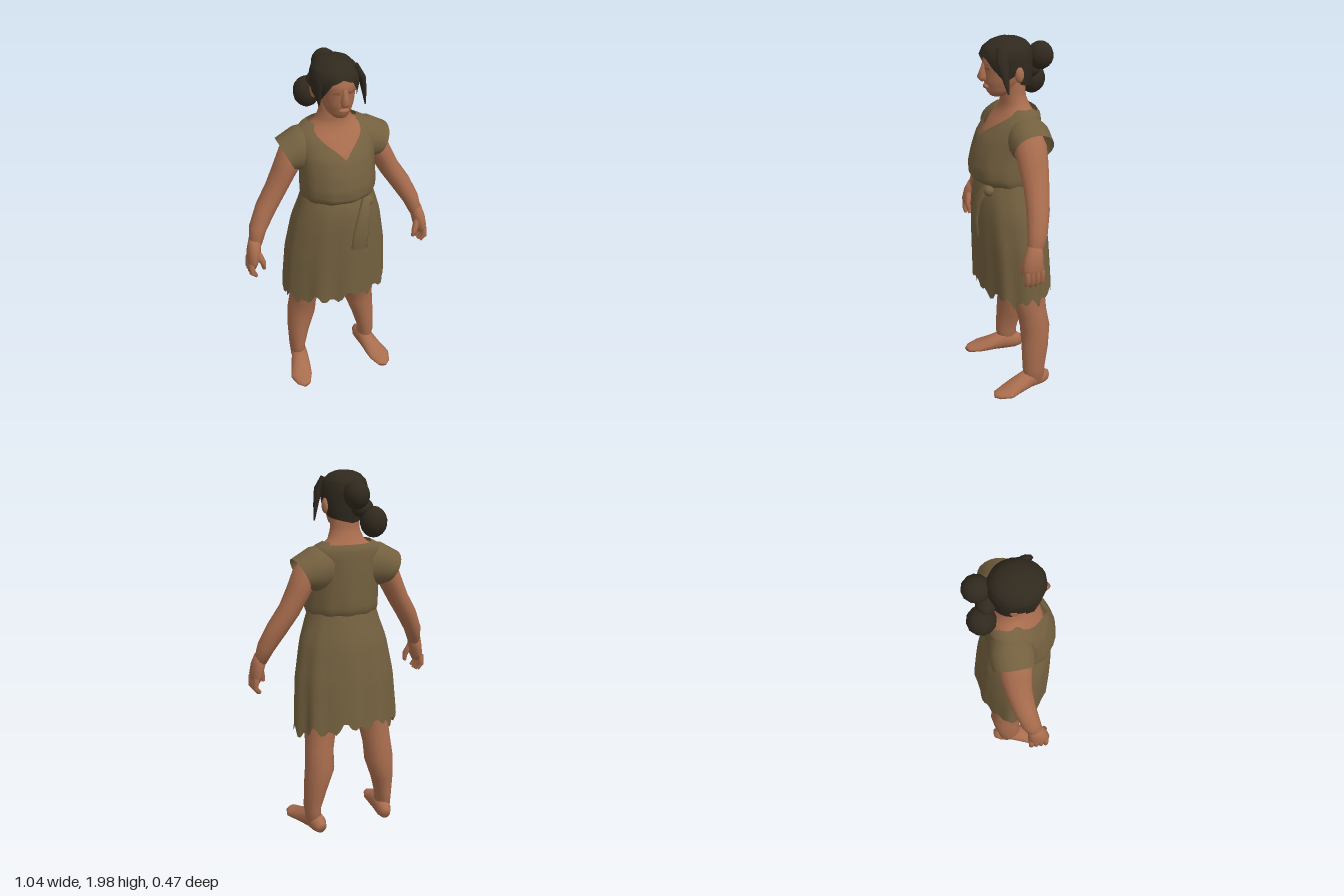
import * as THREE from 'three';

const mat = (name, color, side = THREE.FrontSide) => {
  const m = new THREE.MeshStandardMaterial({ color, side });
  m.name = name;
  return m;
};

// Interpolates a table of rows keyed by their first number
function sample(table, key) {
  let i = 0;
  while (i < table.length - 2 && key > table[i + 1][0]) i++;
  const a = table[i], b = table[i + 1];
  const t = THREE.MathUtils.clamp((key - a[0]) / (b[0] - a[0]), 0, 1);
  return a.map((n, k) => n + (b[k] - n) * t);
}

// Surface closed around u; point(angle, v) returns [x, y, z]; s = -1 mirrors it
function wrap(nu, nv, point, s = 1) {
  const pos = [], idx = [];
  for (let j = 0; j <= nv; j++) for (let i = 0; i < nu; i++) {
    const p = point((i / nu) * Math.PI * 2, j / nv);
    pos.push(p[0] * s, p[1], p[2]);
  }
  for (let j = 0; j < nv; j++) for (let i = 0; i < nu; i++) {
    const a = j * nu + i, b = j * nu + (i + 1) % nu, c = b + nu, d = a + nu;
    if (s > 0) idx.push(a, b, c, a, c, d);
    else idx.push(a, c, b, a, d, c);
  }
  const g = new THREE.BufferGeometry();
  g.setAttribute('position', new THREE.Float32BufferAttribute(pos, 3));
  g.setIndex(idx);
  g.computeVertexNormals();
  return g;
}

// Horizontal oval at height y; rows are [y, centreX, radiusX, frontZ, backZ]
function oval(table, y, th, k = 1) {
  const [, cx, rx, f, b] = sample(table, y);
  return [cx + rx * k * Math.sin(th), y, (f + b) / 2 + ((f - b) / 2) * k * Math.cos(th)];
}

// Capped tube through rows [x, y, z, radiusA, radiusB]; hint gives the radiusB direction
function limb(rows, s = 1, nu = 12, hint = new THREE.Vector3(0, 0, 1)) {
  const n = rows.length, first = rows[0], last = rows[n - 1];
  const frames = rows.map((r, i) => {
    const p = rows[Math.max(i - 1, 0)], q = rows[Math.min(i + 1, n - 1)];
    const t = new THREE.Vector3(q[0] - p[0], q[1] - p[1], q[2] - p[2]).normalize();
    const b = hint.clone().addScaledVector(t, -hint.dot(t)).normalize();
    return { r, a: t.clone().cross(b), b };
  });
  frames.unshift({ ...frames[0], r: [...first.slice(0, 3), 0, 0] });
  frames.push({ ...frames[n], r: [...last.slice(0, 3), 0, 0] });
  return wrap(nu, n + 1, (th, v) => {
    const { r, a, b } = frames[Math.round(v * (n + 1))];
    const sa = Math.sin(th) * r[3], cb = Math.cos(th) * r[4];
    return [0, 1, 2].map(k => r[k] + a.getComponent(k) * sa + b.getComponent(k) * cb);
  }, s);
}

export function createModel() {
  const root = new THREE.Group();
  const skin = mat('skin', 0xa96d4e);
  const shade = mat('eye shade', 0x8a573e);
  const cloth = mat('brown cloth', 0x73603f, THREE.DoubleSide);
  const hair = mat('dark hair', 0x30291e, THREE.DoubleSide);
  const add = (name, geo, m) => {
    const mesh = new THREE.Mesh(geo, m);
    mesh.name = name;
    root.add(mesh);
    return mesh;
  };
  const ball = (name, m, [x, y, z], [rx, ry, rz]) => {
    const mesh = add(name, new THREE.SphereGeometry(1, 12, 9), m);
    mesh.position.set(x, y, z);
    mesh.scale.set(rx, ry, rz);
    return mesh;
  };

  // Chest and neck under the neckline
  const chest = [[1.42, 0, .16, .16, -.12], [1.5, 0, .17, .15, -.12], [1.58, 0, .17, .095, -.125],
    [1.61, 0, .15, .07, -.12], [1.65, 0, .1, .05, -.1], [1.7, 0, .08, .05, -.08], [1.8, 0, .075, .05, -.08]];
  add('chestAndNeck', wrap(24, 18, (th, v) => oval(chest, 1.42 + .38 * v, th)), skin);

  // Head
  const head = [[1.695, 0, 0, .08, .06], [1.705, 0, .035, .105, .02], [1.73, 0, .06, .125, -.03],
    [1.78, 0, .08, .138, -.08], [1.83, 0, .09, .14, -.1], [1.88, 0, .097, .145, -.1],
    [1.93, 0, .09, .13, -.09], [1.97, 0, .04, .07, -.04]];
  add('head', wrap(20, 24, (th, v) => oval(head, 1.695 + .275 * v, th)), skin);
  add('nose', limb([[0, 1.79, .14, .02, .018], [0, 1.81, .147, .022, .03], [0, 1.84, .144, .014, .018],
    [0, 1.875, .138, .01, .01]]), skin);
  ball('lips', skin, [0, 1.757, .128], [.028, .014, .016]);

  // Hair cap with a parted front and lower back
  const hairRows = [[1.73, -.005, .1, .1, -.1], [1.8, -.005, .112, .125, -.115], [1.86, -.008, .12, .148, -.12],
    [1.91, -.01, .122, .158, -.12], [1.95, -.01, .11, .14, -.11], [1.98, -.01, .08, .1, -.08],
    [1.995, -.01, .045, .06, -.04], [2, -.01, 0, .01, .01]];
  const hairline = [[0, 1.925], [.5, 1.9], [.8, 1.83], [1.2, 1.78], [1.5, 1.84], [1.8, 1.77], [3.15, 1.74]];
  add('hairCap', wrap(28, 20, (th, v) => {
    const low = sample(hairline, Math.min(th, Math.PI * 2 - th))[1];
    return oval(hairRows, low + (2 - low) * (1 - (1 - v) ** 1.5), th);
  }), hair);
  ball('upperBun', hair, [.003, 1.89, -.165], [.066, .073, .07]);
  ball('lowerBun', hair, [-.095, 1.75, -.16], [.07, .08, .072]);
  ball('bunLink', hair, [-.045, 1.82, -.13], [.06, .05, .05]);
  add('leftLock', limb([[.14, 1.74, .06, .003, .004], [.127, 1.82, .07, .012, .02],
    [.11, 1.9, .08, .018, .035], [.08, 1.96, .07, .015, .03]], 1, 8), hair);
  add('rightLock', limb([[-.1, 1.765, .05, .003, .004], [-.108, 1.82, .065, .014, .022],
    [-.105, 1.91, .075, .02, .04]], 1, 8), hair);

  // Bodice with a V neck; each column rises to its own neckline height
  const bodice = [[1.25, 0, .19, .18, -.125], [1.28, 0, .202, .218, -.145], [1.34, 0, .202, .222, -.15],
    [1.42, 0, .2, .205, -.152], [1.5, 0, .205, .175, -.152], [1.58, 0, .21, .115, -.15],
    [1.62, 0, .185, .075, -.145], [1.65, 0, .125, .03, -.12]];
  add('bodice', wrap(48, 20, (th, v) => {
    const a = Math.min(th, Math.PI * 2 - th);
    const top = a < .95 ? 1.5 + .147 * (a / .95) ** .85 : a > 2.2 ? 1.635 : 1.647;
    const fold = 1 + .018 * Math.sin(th * 11) * (1 - v) ** 2;
    return oval(bodice, 1.25 + (top - 1.25) * v, th, fold);
  }), cloth);

  // Skirt with growing folds and a ragged hem
  const skirt = [[.55, 0, .298, .19, -.225], [.7, 0, .292, .193, -.215], [.9, 0, .28, .2, -.2],
    [1.1, 0, .245, .205, -.175], [1.2, 0, .212, .2, -.148], [1.28, 0, .188, .175, -.125]];
  add('skirt', wrap(80, 16, (th, v) => {
    const hem = .645 - .035 * Math.sin(th) ** 2 + .018 * Math.sin(th * 9 + .6) + .02 * Math.sin(th * 20 + 1)
      - .01 * Math.cos(th);
    const fold = 1 + (1 - v) * (.03 * Math.sin(th * 9) + .015 * Math.sin(th * 14 + 2));
    return oval(skirt, hem + (1.28 - hem) * v, th, fold);
  }), cloth);

  // Hanging sash end and knot
  add('sash', limb([[.058, .98, .222, .046, .012], [.064, 1.08, .226, .043, .014],
    [.085, 1.18, .212, .034, .016], [.11, 1.25, .175, .025, .018]]), cloth);
  ball('sashKnot', cloth, [.12, 1.235, .165], [.035, .03, .03]);

  for (const s of [1, -1]) {
    const side = s > 0 ? 'left' : 'right';
    const up = new THREE.Vector3(0, 1, 0);

    // Cap sleeve: rows are [v, topX, topY, bottomX, bottomY, radiusZ]
    const sleeve = [[0, .1, 1.635, .12, 1.4, .1], [.5, .2, 1.62, .185, 1.39, .115], [1, .3, 1.565, .218, 1.4, .105]];
    add(side + 'Sleeve', wrap(20, 6, (th, v) => {
      const [, tx, ty, bx, by, rz] = sample(sleeve, v);
      const c = Math.cos(th) / 2;
      return [(tx + bx) / 2 + (tx - bx) * c, (ty + by) / 2 + (ty - by) * c, -.033 + rz * Math.sin(th)];
    }, s), cloth);

    // Arm and hand
    add(side + 'Arm', limb([[.465, 1.02, .045, .034, .04], [.44, 1.1, .022, .046, .052],
      [.385, 1.2, -.003, .054, .06], [.32, 1.3, -.02, .055, .068], [.268, 1.4, -.025, .06, .08],
      [.228, 1.48, -.025, .068, .085], [.17, 1.55, -.03, .055, .065]], s), skin);
    add(side + 'Palm', limb([[.492, .9, .06, .02, .045], [.487, .94, .062, .033, .058],
      [.477, .99, .057, .036, .053], [.464, 1.045, .043, .034, .04]], s), skin);
    for (let f = 0; f < 4; f++) {
      const z = .02 + f * .026, low = .835 + Math.abs(f - 1.5) * .01;
      add(side + 'Finger', limb([[.48, low, z, .01, .011], [.505, .875, z, .015, .015],
        [.498, .93, z, .018, .016]], s, 7), skin);
    }
    add(side + 'Thumb', limb([[.435, .885, .095, .01, .01], [.44, .925, .1, .016, .016],
      [.465, .985, .08, .02, .02]], s, 8), skin);

    // Leg and outward-turned foot
    add(side + 'Leg', limb([[.214, .05, -.07, .042, .055], [.222, .15, -.06, .045, .066],
      [.206, .28, -.072, .064, .077], [.182, .4, -.08, .083, .084], [.176, .5, -.062, .08, .084],
      [.16, .62, -.04, .086, .1], [.135, .85, -.02, .1, .11]], s, 14), skin);
    add(side + 'Foot', limb([[.2, .055, -.15, .028, .034], [.204, .065, -.115, .044, .05],
      [.215, .075, -.04, .048, .06], [.235, .055, .05, .058, .04], [.252, .041, .11, .064, .026],
      [.25, .036, .16, .045, .02], [.24, .033, .186, .025, .014]], s, 14, up), skin);

    // Ear and shaded eye
    ball(side + 'Ear', skin, [s * .108, 1.825, -.01], [.018, .04, .024]);
    const eye = add(side + 'Eye', new THREE.BoxGeometry(.034, .012, .008), shade);
    eye.position.set(s * .04, 1.855, .1335);
    eye.rotation.y = s * .45;
  }
  return root;
}
